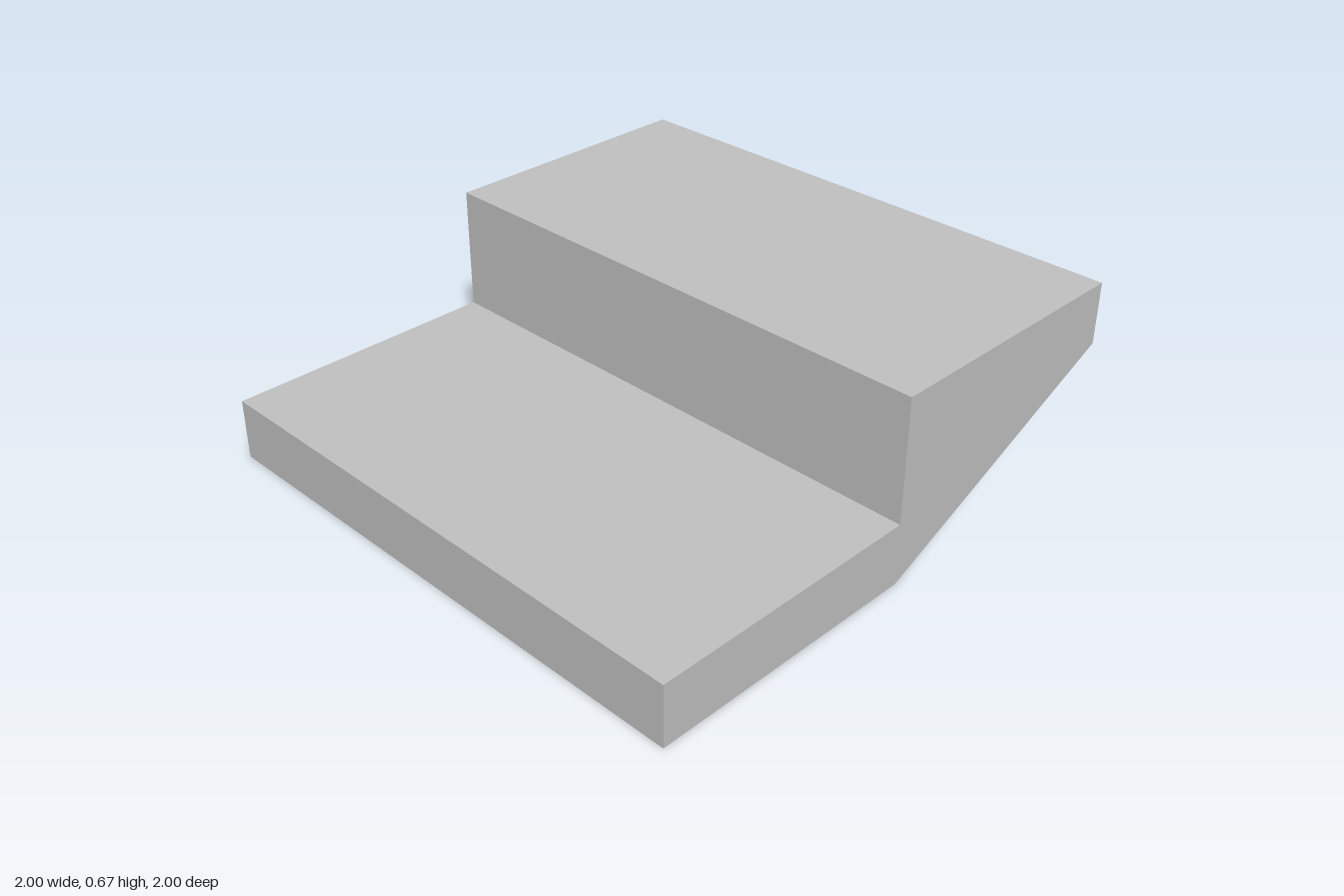
import * as THREE from 'three';

export function createModel() {
  const model = new THREE.Group();
  model.name = 'steppedBlock';

  const grey = new THREE.MeshStandardMaterial({ color: 0xc0c0c0 });
  grey.name = 'plain grey';

  // Side profile of one low and one high tread with a sloping underside
  const profile = new THREE.Shape([
    [-1, 0], [0, 0], [1, 0.445], [1, 0.668], [0, 0.668], [0, 0.222], [-1, 0.222],
  ].map(([x, y]) => new THREE.Vector2(x, y)));

  // Extruded across the full width and centred on z
  const depth = 2;
  const geometry = new THREE.ExtrudeGeometry(profile, { depth, bevelEnabled: false });
  geometry.translate(0, 0, -depth / 2);

  const steps = new THREE.Mesh(geometry, grey);
  steps.name = 'steps';
  model.add(steps);
  return model;
}
